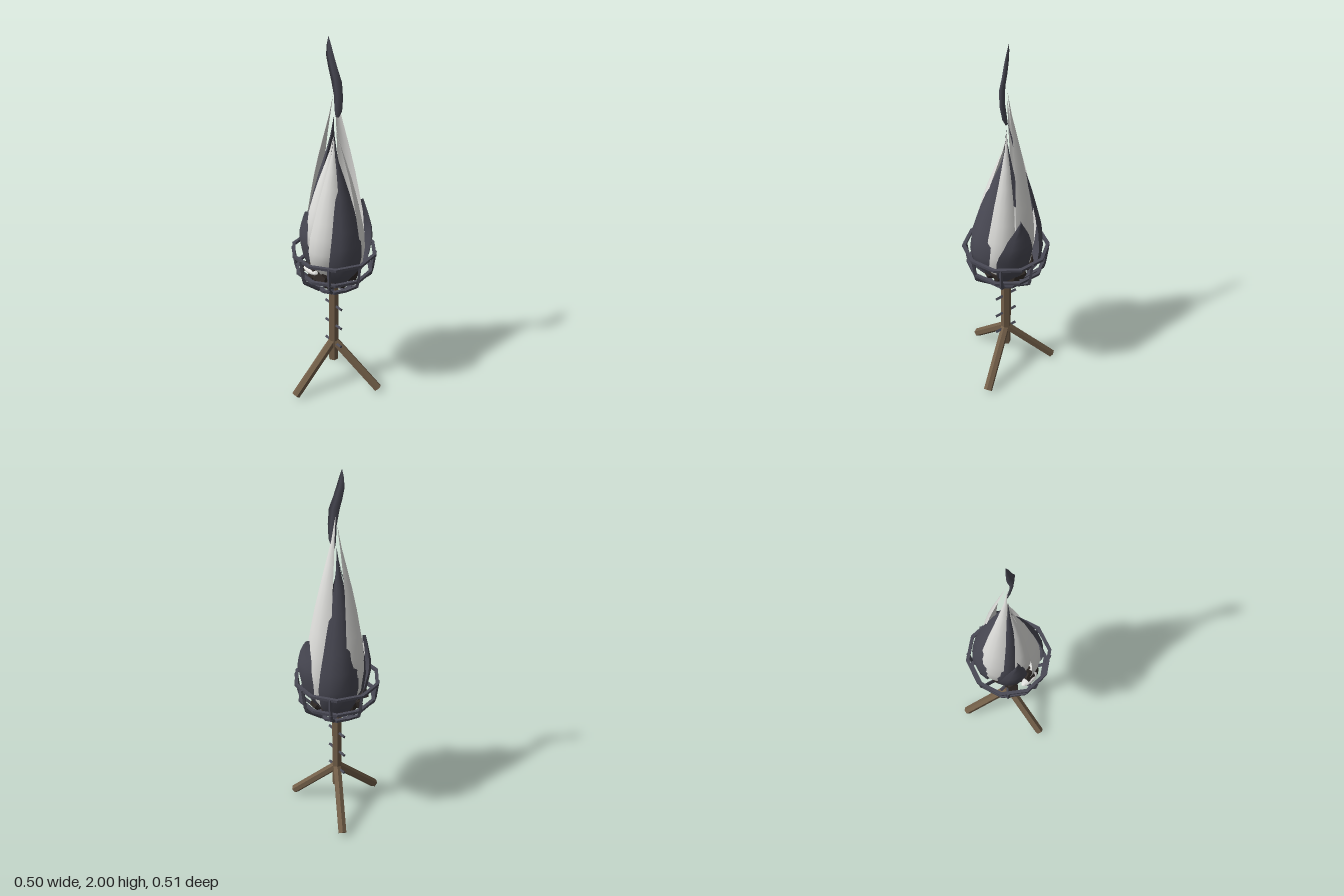
import * as THREE from 'three';

const CX = -0.005, CZ = -0.03; // axis of the pole, basket and flame
const rad = THREE.MathUtils.degToRad;
const V = (x, y, z) => new THREE.Vector3(x, y, z);
const polar = (deg, r, y) => V(CX + Math.cos(rad(deg)) * r, y, CZ + Math.sin(rad(deg)) * r);

// piecewise linear lookup in [[t, value], ...]
function lerpTable(table, t) {
  for (let i = 1; i < table.length; i++) {
    const [a, va] = table[i - 1], [b, vb] = table[i];
    if (t <= b) return va + (vb - va) * (t - a) / (b - a);
  }
  return table[table.length - 1][1];
}

// hard-edged copy of a geometry
function flat(geometry) {
  const g = geometry.index ? geometry.toNonIndexed() : geometry;
  g.computeVertexNormals();
  return g;
}

// surface through rows of points with equal counts
function skin(rows, closed) {
  const n = rows[0].length, pos = [], idx = [];
  rows.forEach(row => row.forEach(p => pos.push(p.x, p.y, p.z)));
  for (let i = 0; i < rows.length - 1; i++) {
    for (let j = 0; j < (closed ? n : n - 1); j++) {
      const a = i * n + j, b = i * n + (j + 1) % n;
      idx.push(a, a + n, b, b, a + n, b + n);
    }
  }
  const g = new THREE.BufferGeometry();
  g.setAttribute('position', new THREE.Float32BufferAttribute(pos, 3));
  g.setIndex(idx);
  g.computeVertexNormals();
  return g;
}

export function createModel() {
  const model = new THREE.Group();
  const iron = new THREE.MeshStandardMaterial({ name: 'dark iron', color: 0x4a4a56 });
  const wood = new THREE.MeshStandardMaterial({ name: 'brown wood', color: 0x735f49 });
  const coal = new THREE.MeshStandardMaterial({ name: 'charred wood', color: 0x302a27 });
  const dark = new THREE.MeshStandardMaterial({ name: 'dark flame', color: 0x494954, side: THREE.DoubleSide });
  const light = new THREE.MeshStandardMaterial({ name: 'pale flame', color: 0xe0e0dd, side: THREE.DoubleSide });

  function add(name, geometry, material, parent = model) {
    const mesh = new THREE.Mesh(geometry, material);
    mesh.name = name;
    parent.add(mesh);
    return mesh;
  }

  // straight prism between two points
  function bar(name, a, b, r, sides, material, parent) {
    const d = b.clone().sub(a);
    const mesh = add(name, flat(new THREE.CylinderGeometry(r, r, d.length(), sides)), material, parent);
    mesh.position.copy(a).add(b).multiplyScalar(0.5);
    const y = d.normalize();
    const side = Math.abs(y.y) > 0.999 ? V(1, 0, 0) : V(0, 1, 0).cross(y).normalize();
    mesh.quaternion.setFromRotationMatrix(new THREE.Matrix4().makeBasis(side, y, side.clone().cross(y)));
  }

  // stand: pole, three splayed legs and crossing pegs
  bar('pole', V(CX, 0.155, CZ), V(CX, 0.68, CZ), 0.028, 6, wood);
  for (const deg of [90, 210, 330]) {
    bar('leg', polar(deg, 0, 0.28), polar(deg, 0.268, 0.017), 0.024, 6, wood);
  }
  for (const y of [0.265, 0.385, 0.51]) {
    bar('peg', V(CX - 0.067, y, CZ), V(CX + 0.067, y, CZ), 0.009, 4, iron);
  }

  // fire basket: ten-sided hoops joined by eight bent ribs
  const basket = new THREE.Group();
  basket.name = 'basket';
  model.add(basket);
  for (const [outer, inner, y, h] of [[0.23, 0.212, 0.86, 0.014], [0.21, 0.192, 0.757, 0.014], [0.105, 0.085, 0.648, 0.014]]) {
    const section = [[inner, -h / 2], [outer, -h / 2], [outer, h / 2], [inner, h / 2], [inner, -h / 2]];
    const hoop = add('hoop', flat(new THREE.LatheGeometry(section.map(p => new THREE.Vector2(...p)), 10)), iron, basket);
    hoop.rotation.y = Math.PI / 2;
    hoop.position.set(CX, y, CZ);
  }
  const ribPath = [[0.217, 0.864], [0.203, 0.757], [0.194, 0.725], [0.098, 0.648], [0.015, 0.648]];
  for (let k = 0; k < 8; k++) {
    for (let i = 1; i < ribPath.length; i++) {
      bar('rib', polar(k * 45, ...ribPath[i - 1]), polar(k * 45, ...ribPath[i]), 0.01, 4, iron, basket);
    }
  }

  // charred lumps and short logs in the basket
  for (let k = 0; k < 9; k++) {
    const lump = add('coal', flat(new THREE.IcosahedronGeometry(0.036 + 0.008 * (k % 3), 0)), coal);
    lump.position.copy(polar(k * 40 + 10, 0.09 + 0.015 * (k % 2), 0.705 + 0.015 * (k % 3)));
    lump.rotation.set(k, k * 2, k * 3);
  }
  for (const [deg, lift] of [[65, 0], [86, 0.06], [125, 0.01]]) {
    bar('log', polar(deg + 180, 0.04, 0.69), polar(deg, 0.16, 0.755 + lift), 0.03, 6, coal);
  }
  const ember = add('ember', flat(new THREE.IcosahedronGeometry(0.055, 1)), light);
  ember.scale.set(1, 0.3, 0.45);
  ember.position.set(-0.002, 0.79, 0.125);

  // flame tongues: bowed sheets that twist as they rise
  const tallRadius = [[0, 0.1], [0.1, 0.16], [0.27, 0.177], [0.5, 0.132], [0.62, 0.106], [0.75, 0.07], [0.88, 0.032], [1, 0.006]];
  const lowRadius = [[0, 0.105], [0.25, 0.165], [0.6, 0.188], [1, 0.155]];
  const tallWidth = [[0, 0.8], [0.2, 1], [0.55, 0.95], [0.85, 0.75], [1, 0.1]];
  const lowWidth = [[0, 0.9], [0.5, 1], [0.8, 0.6], [1, 0.02]];
  function tongue(material, deg, half, base, tip, scale = 1, low = false) {
    const rows = [];
    for (let i = 0; i <= 9; i++) {
      const t = i / 9, row = [];
      const r = lerpTable(low ? lowRadius : tallRadius, t) * scale;
      const w = lerpTable(low ? lowWidth : tallWidth, t) * half;
      for (let j = 0; j <= 4; j++) {
        const u = j / 2 - 1;
        // one edge overlaps the next tongue
        const rr = r * (1 + 0.05 * u - 0.06 * u * u);
        row.push(polar(deg - 16 * t + u * w, rr, base + t * (tip - base)));
      }
      rows.push(row);
    }
    add('flameTongue', skin(rows), material);
  }
  tongue(dark, 214, 35, 0.68, 1.6, 1.12);
  tongue(light, 266, 30, 0.7, 1.77, 0.98);
  tongue(dark, 298, 32, 0.7, 1.12, 1.09, true);
  tongue(light, 322, 28, 0.7, 1.56, 0.96);
  tongue(dark, 16, 34, 0.7, 1.45, 1.09);
  tongue(light, 62, 30, 0.74, 1.5, 1.0);
  tongue(light, 100, 26, 0.83, 1.5, 0.87);
  tongue(dark, 132, 29, 0.72, 1.1, 0.97, true);
  tongue(dark, 142, 26, 0.72, 1.56, 0.9);
  tongue(light, 176, 28, 0.72, 1.72, 0.98);

  // curling wisp at the top: [y, left x, right x, z]
  const wisp = [
    [1.6, -0.006, 0.012, -0.043], [1.64, -0.006, 0.034, -0.04], [1.71, 0, 0.046, -0.034],
    [1.79, -0.01, 0.045, -0.026], [1.85, -0.026, 0.022, -0.02], [1.91, -0.038, 0.003, -0.014],
    [1.96, -0.037, -0.014, -0.014], [2, -0.031, -0.03, -0.015],
  ];
  add('flameWisp', skin(wisp.map(([y, l, r, z]) => {
    const m = (l + r) / 2, w = (r - l) / 2;
    return [V(l, y, z + w * 0.4), V(m, y, z - 0.35 * w), V(r, y, z - w * 0.4), V(m, y, z + 0.35 * w)];
  }), true), dark);

  return model;
}
